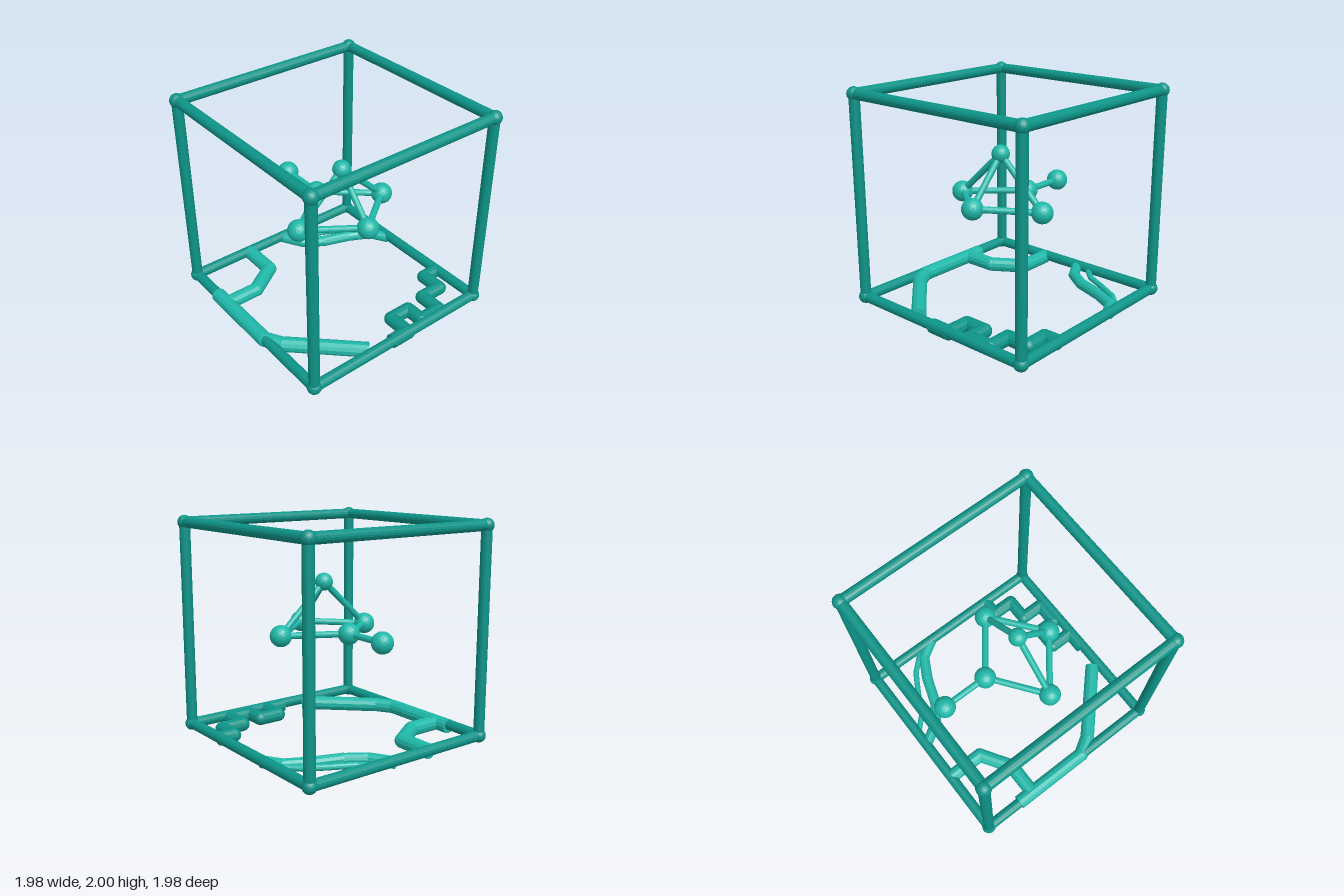
import * as THREE from 'three';

const frameTeal = new THREE.MeshStandardMaterial({ color: 0x0d9488, flatShading: true });
frameTeal.name = 'deep teal';
const lightTeal = new THREE.MeshStandardMaterial({ color: 0x1fb8a9, flatShading: true });
lightTeal.name = 'light teal';

const V = (x, y, z) => new THREE.Vector3(x, y, z);

function ball(parent, name, p, r, mat, detail = 3) {
  const m = new THREE.Mesh(new THREE.IcosahedronGeometry(r, detail), mat);
  m.name = name;
  m.position.copy(p);
  parent.add(m);
}

// cylinder running from a to b
function rod(parent, name, a, b, r, mat, sides = 16) {
  const dir = b.clone().sub(a);
  const m = new THREE.Mesh(new THREE.CylinderGeometry(r, r, dir.length(), sides), mat);
  m.name = name;
  m.position.copy(a).add(b).multiplyScalar(0.5);
  m.quaternion.setFromUnitVectors(V(0, 1, 0), dir.normalize());
  parent.add(m);
}

// pipe lying on the floor through [x, z] points, with round elbows
function floorPipe(parent, name, points, r, mat) {
  const g = new THREE.Group();
  g.name = name;
  const pts = points.map(([x, z]) => V(x, 0.07, z));
  for (let i = 1; i < pts.length; i++) {
    rod(g, 'pipeSection', pts[i - 1], pts[i], r, mat, 12);
    if (i < pts.length - 1) ball(g, 'pipeElbow', pts[i], r, mat);
  }
  parent.add(g);
}

export function createModel() {
  const model = new THREE.Group();
  model.name = 'framedMolecule';

  // open cube frame: twelve bars and eight corner balls
  const frame = new THREE.Group();
  frame.name = 'cubeFrame';
  const h = 0.925, low = 0.085, high = 1.938, bar = 0.048;
  for (const s of [-1, 1]) {
    for (const t of [-1, 1]) {
      rod(frame, 'post', V(s * h, low, t * h), V(s * h, high, t * h), bar, frameTeal);
    }
    for (const y of [low, high]) {
      rod(frame, 'crossBar', V(-h, y, s * h), V(h, y, s * h), bar, frameTeal);
      rod(frame, 'sideBar', V(s * h, y, -h), V(s * h, y, h), bar, frameTeal);
      for (const t of [-1, 1]) ball(frame, 'cornerBall', V(s * h, y, t * h), 0.063, frameTeal);
    }
  }
  model.add(frame);

  // ball-and-stick cluster floating in the middle
  const molecule = new THREE.Group();
  molecule.name = 'molecule';
  const nodes = {
    top: V(0, 1.42, 0.12),
    right: V(-0.465, 0.99, 0.12),
    left: V(0.465, 0.99, 0.12),
    front: V(0, 1.01, 0.478),
    back: V(0, 1.01, -0.235),
    tail: V(0, 1.01, -0.673),
  };
  for (const [key, p] of Object.entries(nodes)) {
    ball(molecule, key + 'Ball', p, key === 'top' ? 0.08 : 0.096, lightTeal);
  }
  const bonds = [
    ['top', 'left'], ['top', 'right'], ['top', 'front'], ['front', 'left'],
    ['front', 'right'], ['back', 'left'], ['back', 'right'], ['back', 'tail'],
  ];
  for (const [a, b] of bonds) rod(molecule, 'bond', nodes[a], nodes[b], 0.029, lightTeal);
  model.add(molecule);

  // pipes around the floor
  floorPipe(model, 'backCornerPipe',
    [[-0.327, -0.92], [-0.327, -0.58], [-0.6, -0.402], [-0.92, -0.402]], 0.067, lightTeal);
  floorPipe(model, 'sidePipe',
    [[-0.92, -0.56], [-0.92, 0.2], [-0.83, 0.35], [-0.29, 0.865]], 0.067, lightTeal);
  floorPipe(model, 'steppedPipe',
    [[-0.07, 0.91], [0.123, 0.91], [0.123, 0.692], [0.327, 0.692], [0.327, 0.867],
      [0.548, 0.867], [0.548, 0.65], [0.765, 0.65], [0.765, 0.443], [0.92, 0.443]],
    0.064, frameTeal);
  floorPipe(model, 'thickBranch',
    [[0.07, -0.93], [0.186, -0.73], [0.356, -0.61], [0.617, -0.52], [0.82, -0.415], [0.92, -0.25]],
    0.052, lightTeal);
  floorPipe(model, 'thinBranch',
    [[0.2, -0.93], [0.35, -0.78], [0.55, -0.68], [0.735, -0.575], [0.9, -0.4]],
    0.027, lightTeal);

  return model;
}
